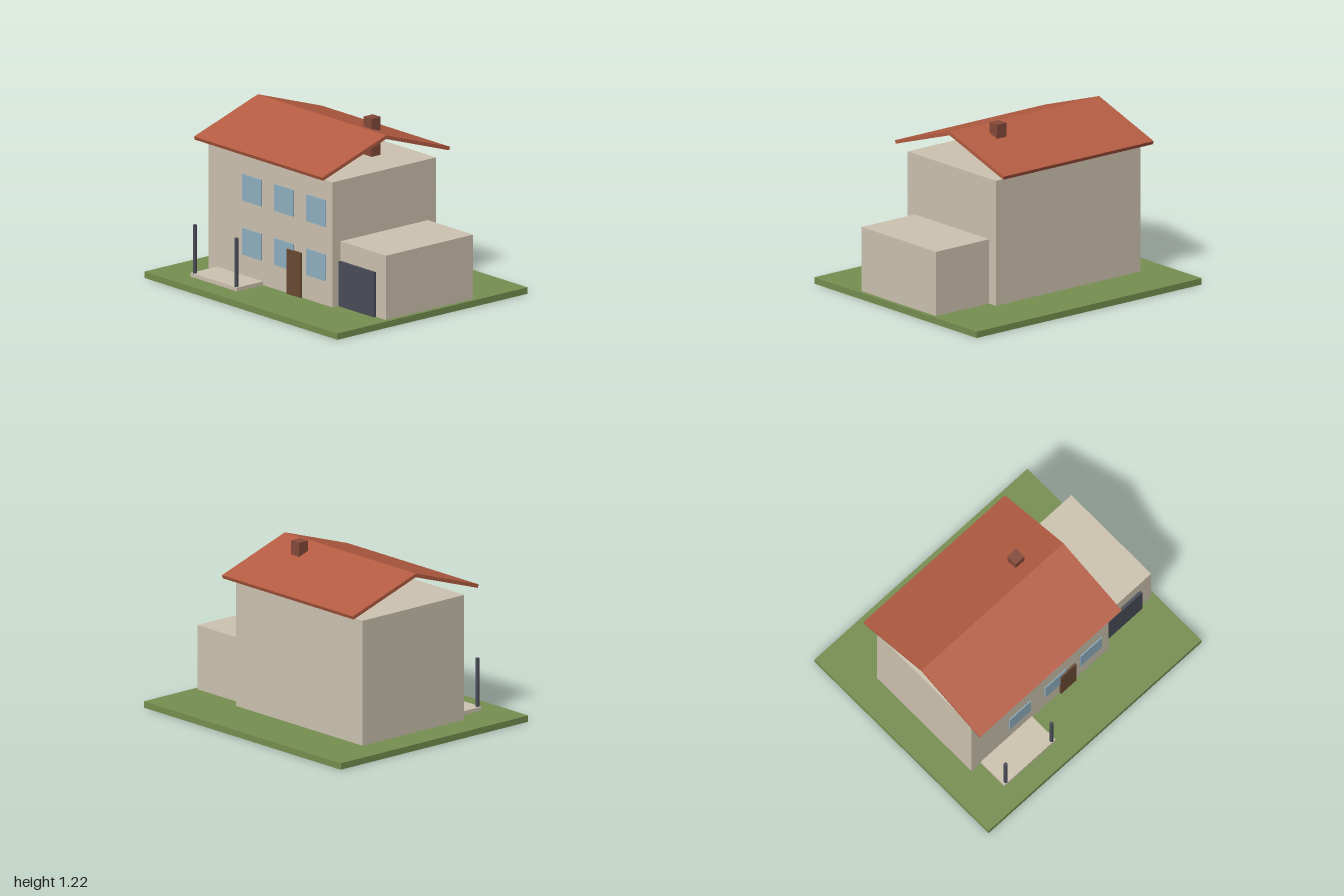
import * as THREE from 'three';

const mat = (name, color) => Object.assign(new THREE.MeshStandardMaterial({ color }), { name });

export function createModel() {
  const house = new THREE.Group();
  house.name = 'house';

  const grass = mat('grass green', 0x768f50);
  const plaster = mat('plaster beige', 0xcdc3b0);
  const tile = mat('roof terracotta', 0xb55d42);
  const brick = mat('chimney brick', 0x854a3a);
  const glass = mat('window blue', 0x90b0c2);
  const wood = mat('door brown', 0x6a4a33);
  const metal = mat('dark metal', 0x4a4d58);

  // Box given by its limits on each axis
  const box = (name, material, [x0, x1], [y0, y1], [z0, z1]) => {
    const mesh = new THREE.Mesh(new THREE.BoxGeometry(x1 - x0, y1 - y0, z1 - z0), material);
    mesh.position.set((x0 + x1) / 2, (y0 + y1) / 2, (z0 + z1) / 2);
    mesh.name = name;
    house.add(mesh);
    return mesh;
  };

  const floor = 0.045;
  const wall = 0.465;

  box('lawn', grass, [-1, 1], [0, floor], [-0.857, 0.857]);
  box('mainWalls', plaster, [-0.785, 0.5], [floor, 0.93], [-wall, wall]);
  box('garage', plaster, [0.5, 0.97], [floor, 0.5], [-0.393, 0.393]);
  box('garageDoor', metal, [0.5, 0.868], [floor, 0.362], [0.39, 0.414]);
  box('frontDoor', wood, [0.042, 0.185], [floor, 0.362], [0.46, 0.48]);
  box('chimney', brick, [0.17, 0.252], [0.948, 1.217], [-0.184, -0.102]);

  // Two rows of three windows
  for (const y of [0.217, 0.6]) {
    for (const x of [-0.333, 0, 0.332]) {
      box('window', glass, [x - 0.1, x + 0.1], [y, y + 0.188], [wall - 0.002, wall + 0.007]);
    }
  }

  // Two sloping roof slabs meeting at the ridge
  for (const side of [1, -1]) {
    const slab = new THREE.Mesh(new THREE.BoxGeometry(1.33, 0.025, 0.606), tile);
    slab.position.set(-0.145, 1.072, side * 0.2835);
    slab.rotation.x = side * Math.atan2(0.19, 0.575);
    slab.name = side > 0 ? 'frontRoof' : 'backRoof';
    house.add(slab);
  }

  // Terrace with two round posts
  box('terrace', plaster, [-0.7, -0.22], [floor, 0.072], [wall, 0.7]);
  for (const x of [-0.675, -0.245]) {
    const post = new THREE.Mesh(new THREE.CylinderGeometry(0.0135, 0.0135, 0.37, 8), metal);
    post.position.set(x, floor + 0.185, 0.685);
    post.name = 'terracePost';
    house.add(post);
  }

  return house;
}
